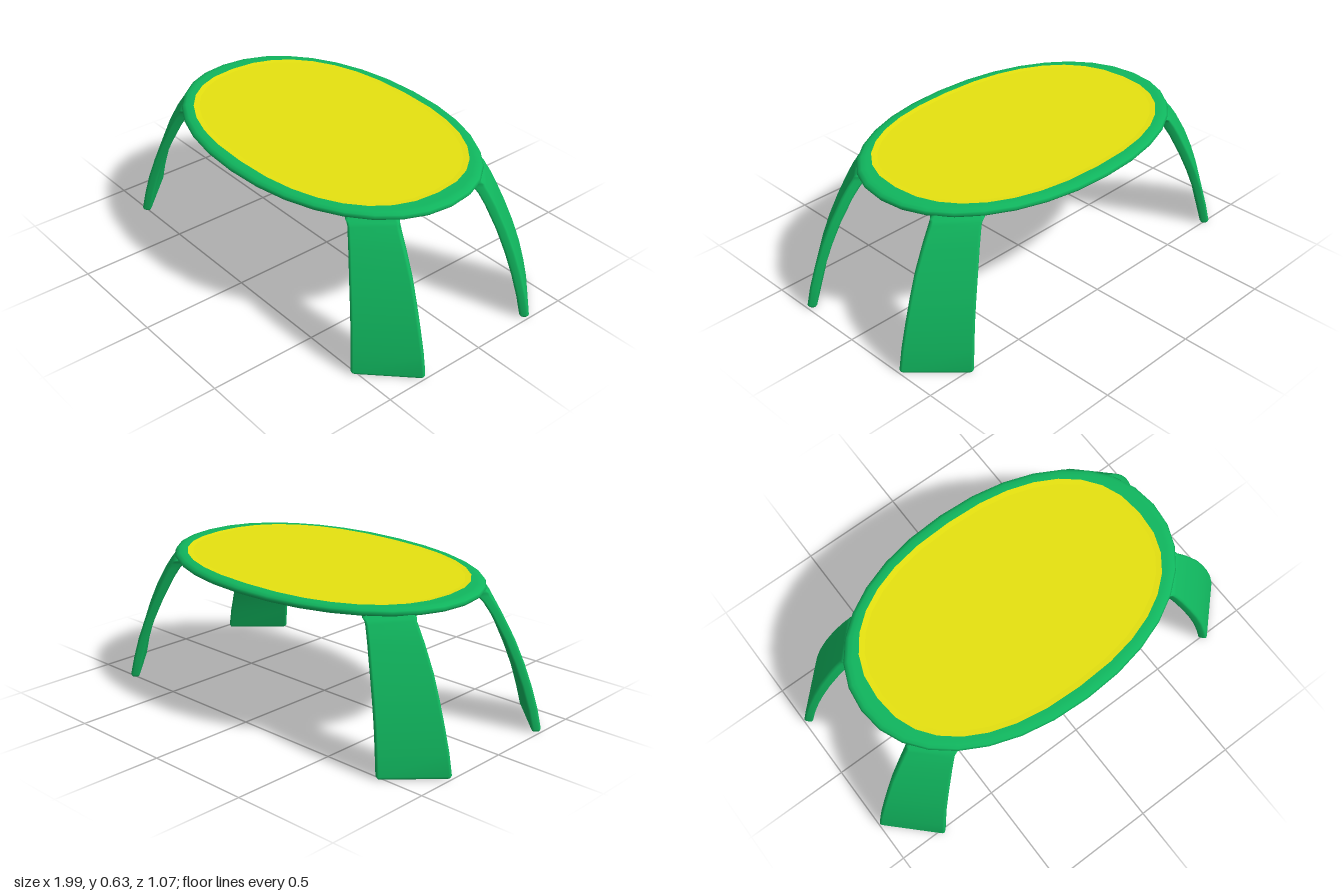
import * as THREE from 'three';

const green = new THREE.MeshStandardMaterial({ color: 0x10b65e });
const yellow = new THREE.MeshStandardMaterial({ color: 0xe6e210 });

// Skin a stack of rings (counter-clockwise from above, lowest first), with optional flat caps.
function loft(rings, capBottom, capTop) {
  const n = rings[0].length, pos = [], idx = [];
  const add = (p) => pos.push(p.x, p.y, p.z);
  rings.forEach((r) => r.forEach(add));
  for (let k = 0; k < rings.length - 1; k++) {
    for (let i = 0; i < n; i++) {
      const j = (i + 1) % n, a = k * n, b = a + n;
      idx.push(a + i, a + j, b + j, a + i, b + j, b + i);
    }
  }
  const cap = (ring, up) => {
    const s = pos.length / 3;
    const c = ring.reduce((m, p) => m.add(p), new THREE.Vector3()).divideScalar(n);
    [c, ...ring].forEach(add);
    for (let i = 0; i < n; i++) {
      const a = s + 1 + i, b = s + 1 + (i + 1) % n;
      idx.push(s, ...(up ? [a, b] : [b, a]));
    }
  };
  if (capBottom) cap(rings[0], false);
  if (capTop) cap(rings[rings.length - 1], true);
  const g = new THREE.BufferGeometry();
  g.setAttribute('position', new THREE.Float32BufferAttribute(pos, 3));
  g.setIndex(idx);
  g.computeVertexNormals();
  return g;
}

// Slightly squared oval.
function oval(rx, rz, y, power) {
  const e = 2 / power, ring = [];
  for (let i = 0; i < 32; i++) {
    const a = (i / 32) * Math.PI * 2, c = Math.cos(a), s = Math.sin(a);
    ring.push(new THREE.Vector3(
      rx * Math.sign(c) * Math.abs(c) ** e, y, -rz * Math.sign(s) * Math.abs(s) ** e));
  }
  return ring;
}

// Diagonal slab section inside the box xi..xo, zi..zo, with softened corners.
function legRing([y, xo, xi, zo, zi, t], sx, sz) {
  const c = [[xo, zi + t], [xo - t, zi], [xi, zo - t], [xi + t, zo]]
    .map(([x, z]) => new THREE.Vector3(x * sx, y, z * sz));
  const ring = [];
  c.forEach((p, i) => {
    const toward = (q) => p.clone().add(q.clone().sub(p).setLength(Math.min(0.012, p.distanceTo(q) * 0.4)));
    const a = toward(c[(i + 3) % 4]), b = toward(c[(i + 1) % 4]);
    ring.push(a, a.clone().add(b).multiplyScalar(0.5).lerp(p, 0.5), b);
  });
  return sx * sz < 0 ? ring.reverse() : ring;
}

export function createModel() {
  const group = new THREE.Group();
  const add = (name, geometry, material) => {
    const m = new THREE.Mesh(geometry, material);
    m.name = name;
    group.add(m);
  };

  // Table top with a rounded rim: inset from the edge, height
  const rim = [[0.05, 0.595], [0.028, 0.597], [0.008, 0.604], [0, 0.615],
    [0.006, 0.626], [0.02, 0.633], [0.04, 0.635]]
    .map(([d, y]) => oval(0.8 - d, 0.535 - d, y, 2.13));
  rim.push(oval(0.715, 0.477, 0.635, 2.3));
  add('tableTop', loft(rim, true, false), green);

  // Coloured inlay, slightly dished at its edge
  add('inlay', loft([oval(0.715, 0.477, 0.635, 2.3), oval(0.69, 0.452, 0.633, 2.3)], false, true), yellow);

  // Curved legs: height, outer x, inner x, outer z, inner z, thickness; flared under the top
  const sections = [
    [0, 0.992, 0.763, 0.517, 0.288, 0.022],
    [0.012, 1, 0.755, 0.525, 0.28, 0.03],
    [0.1, 0.98, 0.738, 0.513, 0.274, 0.031],
    [0.2, 0.948, 0.715, 0.496, 0.266, 0.032],
    [0.3, 0.91, 0.684, 0.475, 0.255, 0.033],
    [0.4, 0.865, 0.647, 0.45, 0.241, 0.034],
    [0.5, 0.807, 0.605, 0.421, 0.225, 0.036],
    [0.55, 0.772, 0.58, 0.405, 0.214, 0.038],
    [0.575, 0.752, 0.562, 0.395, 0.204, 0.042],
    [0.588, 0.745, 0.545, 0.392, 0.194, 0.05],
    [0.596, 0.74, 0.515, 0.388, 0.172, 0.065],
    [0.612, 0.72, 0.51, 0.37, 0.17, 0.065],
  ];
  for (const [name, sx, sz] of [['frontLeftLeg', 1, 1], ['frontRightLeg', -1, 1],
    ['backLeftLeg', 1, -1], ['backRightLeg', -1, -1]]) {
    add(name, loft(sections.map((s) => legRing(s, sx, sz)), true, true), green);
  }
  return group;
}
